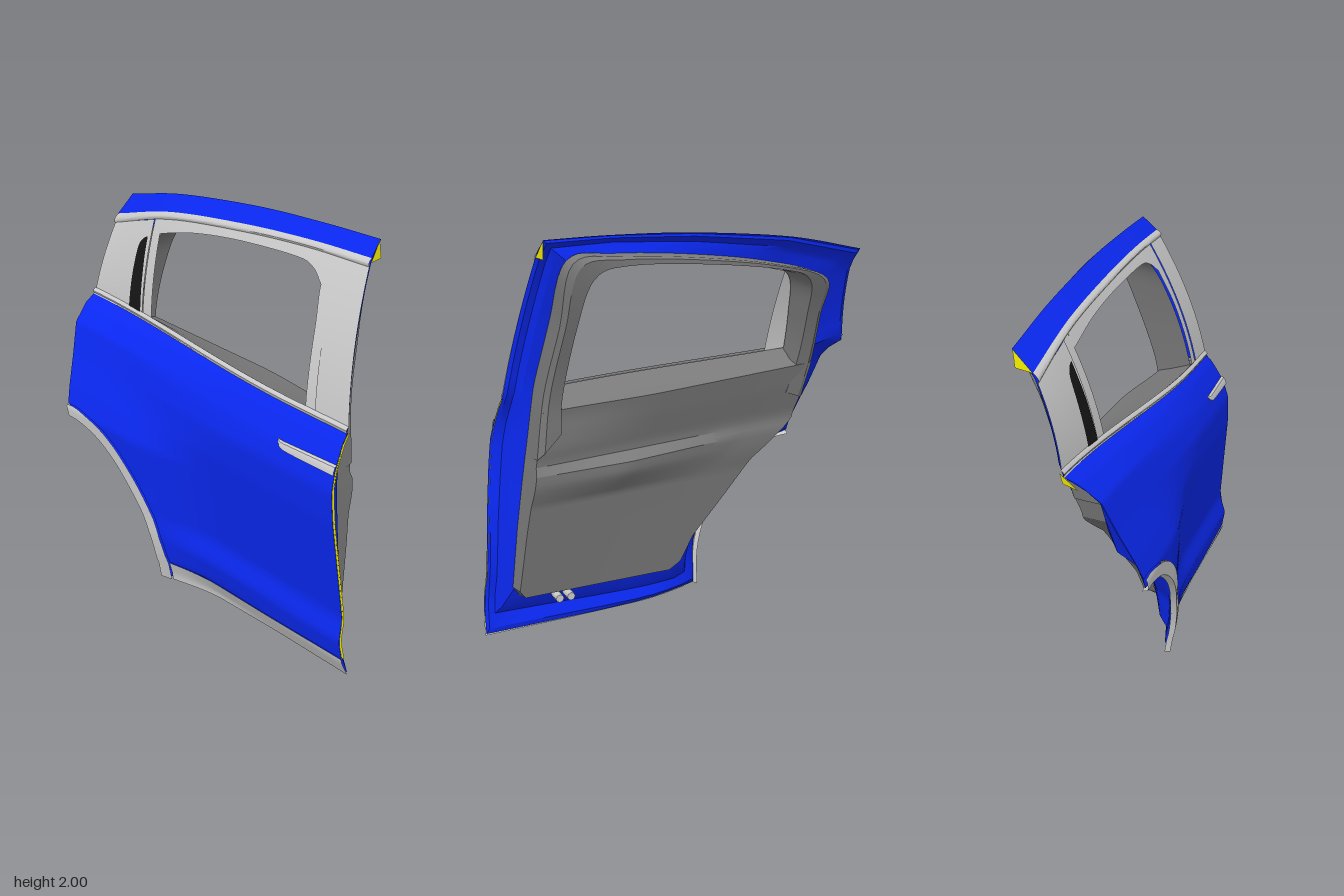
import * as THREE from 'three';
import { toCreasedNormals } from 'three/addons/utils/BufferGeometryUtils.js';

const { lerp, smoothstep, clamp } = THREE.MathUtils;
const mat = (color, side = THREE.DoubleSide) => new THREE.MeshStandardMaterial({ color, side });
const grey = mat(0xcccccc), darkGrey = mat(0x7a7a7a), blue = mat(0x0a28f0), black = mat(0x151515);
const yellow = mat(0xf0e800, THREE.FrontSide);

// Piecewise linear lookup in [[x, y], ...]
function look(table, x) {
  if (x <= table[0][0]) return table[0][1];
  for (let i = 1; i < table.length; i++) {
    const [x0, y0] = table[i - 1], [x1, y1] = table[i];
    if (x <= x1) return lerp(y0, y1, (x - x0) / (x1 - x0));
  }
  return table[table.length - 1][1];
}
// Subdivide rows of numbers linearly
function refine(rows, n, closed = false) {
  const out = [], last = closed ? rows.length : rows.length - 1;
  for (let i = 0; i < last; i++)
    for (let k = 0; k < n; k++)
      out.push(rows[i].map((a, j) => lerp(a, rows[(i + 1) % rows.length][j], k / n)));
  out.push(closed ? out[0] : rows[rows.length - 1]);
  return out;
}
// Smooth curve through points of two or three numbers
function spline(pts, n) {
  const vectors = pts.map(([x, y, z = 0]) => new THREE.Vector3(x, y, z));
  return new THREE.CatmullRomCurve3(vectors, false, 'catmullrom').getPoints(n).map((p) => p.toArray());
}

// Door skin: section below the belt line at the front and rear edge, by depth under the belt
const frontSection = [[0, .12], [.03, .155], [.14, .22], [.24, .25], [.39, .25], [.64, .23], [.9, .21], [1.01, .24], [1.13, .22], [1.24, .17]];
const rearSection = [[0, -.01], [.03, .06], [.11, .15], [.26, .21], [.41, .275], [.51, .312], [.86, .308], [1.16, .288], [1.36, .265]];
const mouldTop = spline([[-.9, 1.78], [-.5, 1.872], [0, 1.92], [.4, 1.935], [.73, 1.93]], 32);
const belt = (x) => 1.29 - .0778 * x;
function skin(x, y) {
  const d = belt(x) - y, k = smoothstep(d, 0, .5);
  const w = smoothstep(x, lerp(-.96, -.45, k), lerp(.55, .15, k));
  if (d >= 0) return lerp(look(rearSection, d), look(frontSection, d), w);
  const top = look(mouldTop, x), t = -d / (top - belt(x));
  const zb = lerp(-.01, .12, w), zt = lerp(-.145, -.13, (x + .9) / 1.63);
  return t < 1 ? lerp(zb, zt, .45 * t + .55 * t * t) : zt - 1.1 * (y - top);
}

// Surface from a grid of points
function grid(rows) {
  const nv = rows.length, nu = rows[0].length, index = [];
  for (let j = 0; j < nv - 1; j++)
    for (let i = 0; i < nu - 1; i++) {
      const a = j * nu + i, b = a + nu;
      index.push(a, a + 1, b + 1, a, b + 1, b);
    }
  const geo = new THREE.BufferGeometry();
  geo.setAttribute('position', new THREE.Float32BufferAttribute(rows.flat(2), 3));
  geo.setIndex(index);
  geo.computeVertexNormals();
  return toCreasedNormals(geo, .5);
}
// Panel lofted between two outlines and laid on the skin
function panel(a, b, nv, raise = () => 0) {
  const rows = [];
  for (let j = 0; j <= nv; j++) {
    const v = j / nv;
    rows.push(a.map((p, i) => {
      const x = lerp(p[0], b[i][0], v), y = lerp(p[1], b[i][1], v);
      return [x, y, skin(x, y) + raise(i / (a.length - 1), v)];
    }));
  }
  return grid(rows);
}

// Door perimeter (x, y) paired with the inner trim outline (x, y)
const perimeter = [
  [.955, .01, .82, .25], [.35, .02, .4, .22], [-.16, .035, .02, .2], [-.225, .04, -.06, .24],
  [-.24, .26, -.13, .4], [-.31, .45, -.29, .6], [-.43, .625, -.43, .78], [-.59, .745, -.56, .88],
  [-.83, .805, -.65, .95], [-.9, 1.08, -.69, 1.1], [-.955, 1.36, -.72, 1.3], [-.92, 1.6, -.72, 1.55],
  [-.885, 1.86, -.7, 1.74], [-.5, 1.94, -.4, 1.83], [0, 1.985, 0, 1.89], [.4, 1.997, .4, 1.92],
  [.72, 1.992, .62, 1.9], [.78, 1.6, .66, 1.6], [.835, 1.25, .71, 1.28], [.87, 1, .75, .95], [.91, .6, .79, .6]];
// Window opening of the trim (x, y) and its inner depth, for perimeter rows 9 to 19
const opening = [
  [-.56, 1.15, -.09], [-.6, 1.33, -.13], [-.6, 1.55, -.2], [-.56, 1.74, -.28], [-.4, 1.805, -.31],
  [0, 1.855, -.32], [.36, 1.868, -.31], [.5, 1.81, -.28], [.56, 1.6, -.2], [.6, 1.27, -.1], [.6, 1.1, -.08]];
const seatTable = [[.2, .13], [.5, .11], [.8, .09], [1, .07], [1.3, .04], [1.6, -.06], [1.8, -.15], [1.92, -.21]];
const seat = (x, y) => Math.min(look(seatTable, y), skin(x, y) - .04);

// Inner shell: steps in from the door edge to the trim
function innerShell() {
  const loop = refine(perimeter, 5, true);
  return grid([[0, 0], [.12, .05], [.4, .25], [.6, .7], [1, 1]].map(([f, m]) => loop.map(([px, py, qx, qy]) => {
    const x = lerp(px, qx, f), y = lerp(py, qy, f);
    const z = lerp(skin(x, y) - .004, seat(x, y), m);
    return [x, y, f ? Math.min(z, skin(x, y) - .022) : z];
  })));
}

// Lower trim panel with armrest and sloping window sill
const trimRear = [[.22, 0], [.26, -.06], [.4, -.12], [.6, -.28], [.78, -.42], [.88, -.55], [.95, -.64], [1.1, -.68], [1.3, -.71]];
const trimFront = [[.22, .78], [.26, .81], [.6, .78], [.95, .74], [1.28, .7]];
const trimDepth = [[0, .065], [.36, 0], [.55, -.035], [.71, -.05], [.84, -.095], [.94, -.125]];
const armrest = [[.48, 0], [.59, 1], [.64, 1], [.68, 0]];
function lowerTrim() {
  const rows = [], nu = 28, nv = 50;
  for (let j = -1; j <= nv; j++) {
    const v = Math.max(j, 0) / nv, y0 = lerp(.22, 1.3, v), row = [];
    for (let i = -1; i <= nu + 1; i++) {
      const u = clamp(i / nu, 0, 1);
      let x = lerp(look(trimRear, y0), look(trimFront, y0), u);
      let y = lerp(.22, belt(x) + .018, v);
      let z = look(trimDepth, v) - .055 * look(armrest, v) * Math.max(.2, 1 - Math.abs(u - .65) * 1.7);
      z += .05 * smoothstep(x, .1, .7) * smoothstep(v, .71, .94);
      if (v > .94) z = lerp(z, skin(x, y) - .012, (v - .94) / .06);
      if (i < 0 || i > nu || j < 0) {
        x += i < 0 ? -.015 : i > nu ? .015 : 0;
        y -= j < 0 ? .015 : 0;
        z = seat(x, y);
      }
      row.push([x, y, z]);
    }
    rows.push(row);
  }
  return grid(rows);
}
// Trim around the window: outer wall, inner face and reveal
function windowTrim() {
  const outer = spline(perimeter.slice(9, 20).map((p) => p.slice(2)), 60), inner = spline(opening, 60);
  const ring = (f, depth) => outer.map(([qx, qy], i) => {
    const [ox, oy, oz] = inner[i], x = lerp(qx, ox, f), y = lerp(qy, oy, f);
    return [x, y, depth(x, y, oz)];
  });
  return grid([
    ring(0, seat), ring(.08, (x, y, z) => z + .02), ring(.3, (x, y, z) => z),
    ring(.85, (x, y, z) => z), ring(1, (x, y) => skin(x, y) - .02)]);
}

export function createModel() {
  const group = new THREE.Group();
  group.name = 'vehicleDoor';
  const add = (name, geo, material = grey) => {
    const mesh = new THREE.Mesh(geo, material);
    mesh.name = name;
    group.add(mesh);
    return mesh;
  };

  // Outer body panel with wheel arch cut-out
  const arch = spline([[-.85, .86], [-.76, .853], [-.6, .805], [-.45, .705], [-.32, .55], [-.22, .345], [-.165, .14]], 24);
  const archInner = spline([[-.83, .785], [-.74, .775], [-.6, .72], [-.45, .6], [-.33, .43], [-.265, .25], [-.245, .1]], 24);
  const sillTop = refine([[-.165, .14], [.95, .11]], 24);
  const bottom = [...arch, ...sillTop.slice(1)];
  const top = bottom.map((p, i) => {
    const x = i < 25 ? lerp(-.96, -.08, i / 24) : lerp(-.08, .84, (i - 24) / 24);
    return [x, belt(x)];
  });
  add('bodyPanel', panel(bottom, top, 44), blue);

  // Wheel arch trim and sill strip
  const lip = (u, v) => (v < .01 ? -.02 : .01);
  add('wheelArchTrim', panel([...archInner, [-.243, .028]], [...arch, [-.165, .025]], 6, lip));
  add('sillStrip', panel(refine([[-.165, .025], [.96, 0]], 24), sillTop, 5, () => .004));

  // Belt moulding, roof moulding and roof band
  const round = (u, v) => .012 * Math.sin(Math.PI * v);
  const beltLine = refine([[-.962], [.838]], 30).map(([x]) => [x, belt(x) - .004]);
  add('beltMoulding', panel(beltLine, beltLine.map(([x, y]) => [x, y + .032]), 6, round));
  const mouldLow = spline([[-.905, 1.735], [-.5, 1.837], [0, 1.887], [.4, 1.903], [.735, 1.895]], 32);
  const roofEdge = spline([[-.885, 1.868], [-.5, 1.945], [0, 1.99], [.4, 2], [.72, 1.995]], 32);
  add('roofMoulding', panel(mouldLow, mouldTop, 6, round));
  add('roofBand', panel(mouldTop, roofEdge, 5), blue);

  // Window frame: rear quarter, divider bar, top rail, front pillar
  add('rearQuarter', panel(refine([[-.955, 1.38], [-.575, 1.345]], 8), refine([[-.9, 1.74], [-.605, 1.815]], 8), 14));
  add('dividerBar', panel(refine([[-.575, 1.345], [-.505, 1.34]], 3), refine([[-.605, 1.815], [-.55, 1.828]], 3), 14, () => -.005));
  add('topRail', panel(
    spline([[-.55, 1.76], [-.3, 1.815], [0, 1.847], [.34, 1.856], [.45, 1.835], [.52, 1.78]], 30),
    spline([[-.55, 1.83], [-.3, 1.866], [0, 1.892], [.34, 1.908], [.45, 1.908], [.55, 1.905]], 30), 4, () => -.004));
  const seam = spline([[.65, 1.26], [.61, 1.58], [.585, 1.78], [.57, 1.905]], 18);
  add('frontPillar', panel(spline([[.838, 1.25], [.785, 1.57], [.75, 1.79], [.732, 1.905]], 18), seam, 6));
  add('frontWindowChannel', panel(seam, spline([[.592, 1.26], [.555, 1.6], [.52, 1.78], [.53, 1.905]], 18), 4, () => -.005));
  add('quarterGlass', panel(
    spline([[-.68, 1.37], [-.682, 1.52], [-.675, 1.67], [-.65, 1.715], [-.622, 1.732]], 16),
    spline([[-.588, 1.362], [-.597, 1.46], [-.605, 1.56], [-.614, 1.65], [-.62, 1.73]], 16), 4, () => .004), black);

  // Door handle
  add('handle', panel(
    spline([[.53, 1.112], [.555, 1.088], [.6, 1.078], [.73, 1.068], [.858, 1.06]], 20),
    spline([[.525, 1.122], [.555, 1.118], [.6, 1.116], [.73, 1.111], [.855, 1.106]], 20), 8,
    (u, v) => .003 + .01 * Math.min(1, 3 * Math.sin(Math.PI * v)) * Math.min(1, u * 6)));

  // Inner side
  add('innerShell', innerShell(), blue);
  add('lowerTrim', lowerTrim(), darkGrey);
  add('windowTrim', windowTrim(), darkGrey);
  for (const x of [.54, .6]) {
    const bolt = add('lowerBolt', new THREE.CylinderGeometry(.021, .021, .08, 8));
    bolt.rotation.x = Math.PI / 2;
    bolt.position.set(x, .175, .115);
  }

  // Coloured front edge and end caps
  const edge = refine([[.841, 1.22], [.951, .11]], 30).map(([x, y]) => [x, y, skin(x, y)]);
  add('frontEdge', grid([edge, edge.map(([x, y, z]) => [x + .001, y, z - .016])]), yellow);
  for (const [name, a, b, c] of [
    ['frontRoofCap', [.732, 1.91, -.125], [.726, 1.91, -.205], [.72, 1.993, -.195]],
    ['rearRoofCap', [-.9, 1.78, -.145], [-.886, 1.866, -.235], [-.893, 1.79, -.225]],
    ['rearBeltCap', [-.961, 1.31, .06], [-.962, 1.38, -.02], [-.956, 1.33, -.01]]])
    add(name, grid([[a, b], [c, c]]), yellow);

  return group;
}
